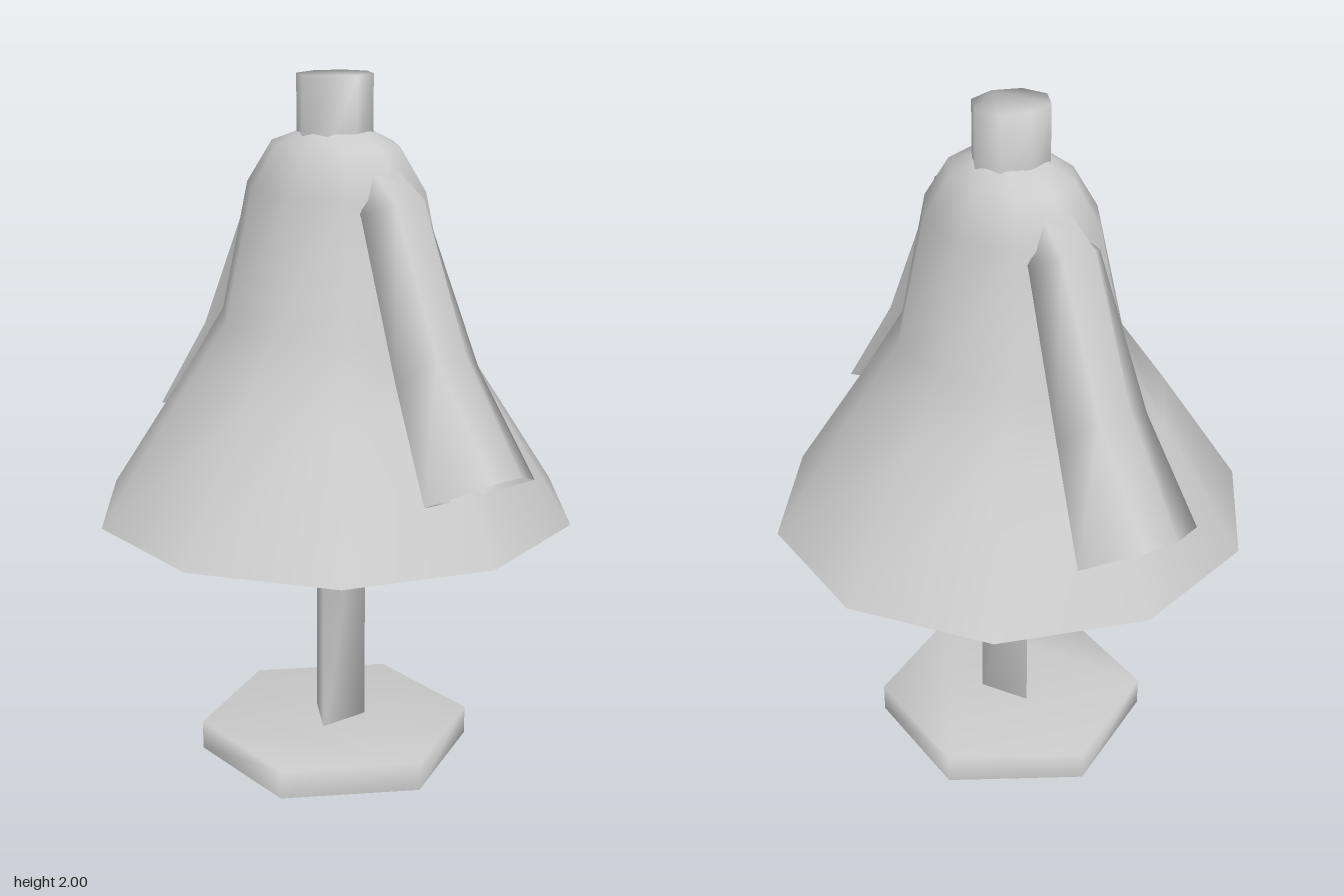
import * as THREE from 'three';

const material = new THREE.MeshStandardMaterial({ color: 0xcccccc, side: THREE.DoubleSide });

// Skins a stack of equal-sized closed rings (bottom to top), with optional fan caps.
function loft(name, rings, capBottom = false, capTop = false) {
  const n = rings[0].length;
  const points = rings.flat();
  const index = [];
  for (let i = 0; i < rings.length - 1; i++) {
    for (let j = 0; j < n; j++) {
      const k = (j + 1) % n;
      const a = i * n + j, b = i * n + k;
      index.push(a, b, b + n, a, b + n, a + n);
    }
  }
  const last = (rings.length - 1) * n;
  for (let j = 1; j < n - 1; j++) {
    if (capBottom) index.push(0, j + 1, j);
    if (capTop) index.push(last, last + j, last + j + 1);
  }
  const geometry = new THREE.BufferGeometry();
  geometry.setAttribute('position', new THREE.Float32BufferAttribute(points.flat(), 3));
  geometry.setIndex(index);
  geometry.computeVertexNormals();
  const mesh = new THREE.Mesh(geometry, material);
  mesh.name = name;
  return mesh;
}

// Elliptical polygon ring at height y; the first corner lies at angle `start` from +z.
function ring(sides, y, rx, rz, start = 0) {
  return Array.from({ length: sides }, (_, i) => {
    const a = start + (i / sides) * Math.PI * 2;
    return [Math.sin(a) * rx, y, Math.cos(a) * rz];
  });
}

// Six-cornered sleeve section: each corner is [half width, y, z], mirrored in x.
function sleeveRing(outer, mid, inner) {
  const flip = ([x, y, z]) => [-x, y, z];
  return [outer, mid, inner, flip(inner), flip(mid), flip(outer)];
}

function makeSleeve(name) {
  return loft(name, [
    sleeveRing([0.05, 1.02, 0.73], [0.193, 0.96, 0.63], [0.07, 0.93, 0.57]),
    sleeveRing([0.05, 1.30, 0.505], [0.145, 1.24, 0.45], [0.06, 1.21, 0.40]),
    sleeveRing([0.05, 1.69, 0.325], [0.112, 1.65, 0.26], [0.05, 1.62, 0.21]),
    sleeveRing([0.04, 1.765, 0.21], [0.08, 1.70, 0.18], [0.04, 1.64, 0.15]),
  ]);
}

export function createModel() {
  const model = new THREE.Group();
  model.name = 'robeOnStand';

  // Hexagonal foot, hollow underneath
  model.add(loft('base', [ring(6, 0, 0.4, 0.4), ring(6, 0.085, 0.4, 0.4)], false, true));

  // Three-sided pole reaching up inside the robe
  model.add(loft('pole', [
    ring(3, 0.005, 0.09, 0.09, Math.PI),
    ring(3, 0.96, 0.09, 0.09, Math.PI),
  ], true, true));

  // Flared robe, open at the hem: [y, x radius, z radius]
  const profile = [
    [0.765, 0.692, 0.692],
    [1.13, 0.45, 0.46],
    [1.32, 0.315, 0.36],
    [1.69, 0.232, 0.285],
    [1.81, 0.163, 0.205],
    [1.847, 0.10, 0.09],
  ];
  model.add(loft('robe', profile.map(([y, rx, rz]) => ring(10, y, rx, rz))));

  // Octagonal neck
  model.add(loft('neck', [ring(8, 1.8, 0.112, 0.1), ring(8, 2, 0.112, 0.1)], false, true));

  // Hanging sleeves at front and back
  const frontSleeve = makeSleeve('frontSleeve');
  const backSleeve = makeSleeve('backSleeve');
  backSleeve.rotation.y = Math.PI;
  model.add(frontSleeve, backSleeve);

  return model;
}
